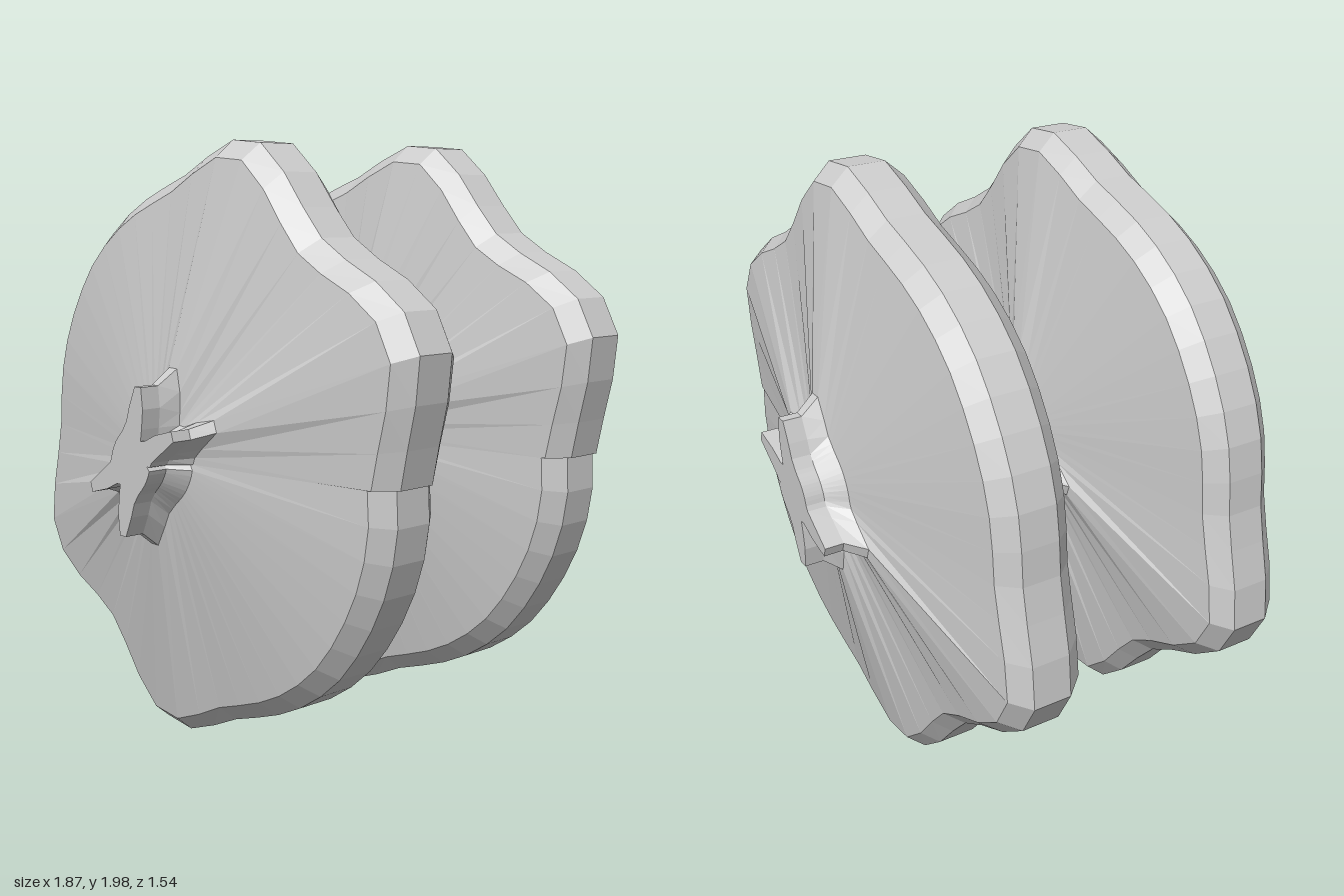
import * as THREE from 'three';

// Radii every 7.5 degrees over half a turn; the other half repeats them.
const RIM = [0.868, 0.9, 0.955, 1.014, 1.01, 0.96, 0.905, 0.882, 0.91, 0.965, 1.014, 1.0,
  0.942, 0.895, 0.88, 0.877, 0.877, 0.877, 0.877, 0.873, 0.871, 0.871, 0.87, 0.866];
const HUB = [0.155, 0.165, 0.205, 0.297, 0.302, 0.22, 0.16, 0.145, 0.18, 0.24, 0.302, 0.295,
  0.225, 0.18, 0.165, 0.155, 0.15, 0.148, 0.147, 0.147, 0.147, 0.148, 0.15, 0.152];
const SEGMENTS = 48;
const COLUMNS = SEGMENTS + 1; // the extra column makes the small step at the seam
const SEAM_STEP = 0.015;

const material = new THREE.MeshStandardMaterial({
  color: 0xcccccc, flatShading: true, side: THREE.DoubleSide,
});

// Skins rings of [z, radius table, inset], listed from front to back.
function sweep(name, rings, capFront = false, capBack = false) {
  const positions = [];
  const index = [];
  for (const [z, table, inset] of rings) {
    for (let i = 0; i < COLUMNS; i++) {
      const angle = (i / SEGMENTS) * Math.PI * 2;
      const r = table[i % table.length] - inset - (i === SEGMENTS ? SEAM_STEP : 0);
      positions.push(r * Math.cos(angle), 1 + r * Math.sin(angle), z);
    }
  }
  for (let j = 0; j < rings.length - 1; j++) {
    for (let i = 0; i < COLUMNS; i++) {
      const next = (i + 1) % COLUMNS;
      const a = j * COLUMNS + i;
      const b = j * COLUMNS + next;
      index.push(a, a + COLUMNS, b, b, a + COLUMNS, b + COLUMNS);
    }
  }
  // Flat end faces as fans around the axis
  const addCap = (ring, front) => {
    const centre = positions.length / 3;
    positions.push(0, 1, rings[ring][0]);
    for (let i = 0; i < COLUMNS; i++) {
      const a = ring * COLUMNS + i;
      const b = ring * COLUMNS + ((i + 1) % COLUMNS);
      if (front) index.push(centre, a, b);
      else index.push(centre, b, a);
    }
  };
  if (capFront) addCap(0, true);
  if (capBack) addCap(rings.length - 1, false);

  const geometry = new THREE.BufferGeometry();
  geometry.setAttribute('position', new THREE.Float32BufferAttribute(positions, 3));
  geometry.setIndex(index);
  geometry.computeVertexNormals();
  const mesh = new THREE.Mesh(geometry, material);
  mesh.name = name;
  return mesh;
}

// Lobed disc with a bevelled rim and sloping faces
function disc(name, z) {
  return sweep(name, [
    [z + 0.255, HUB, 0],
    [z + 0.128, RIM, 0.055],
    [z + 0.065, RIM, 0],
    [z - 0.065, RIM, 0],
    [z - 0.128, RIM, 0.055],
    [z - 0.255, HUB, 0],
  ]);
}

export function createModel() {
  const group = new THREE.Group();
  group.name = 'lobedSpool';

  // Star-shaped axle: two end stubs and the core between the discs
  group.add(sweep('frontAxle', [
    [0.768, HUB, 0.05], [0.703, HUB, 0.05], [0.64, HUB, 0],
  ], true));
  group.add(sweep('axleCore', [
    [0.13, HUB, 0], [0.065, HUB, 0.05], [-0.065, HUB, 0.05], [-0.13, HUB, 0],
  ]));
  group.add(sweep('backAxle', [
    [-0.64, HUB, 0], [-0.703, HUB, 0.05], [-0.768, HUB, 0.05],
  ], false, true));

  group.add(disc('frontDisc', 0.385));
  group.add(disc('backDisc', -0.385));
  return group;
}
